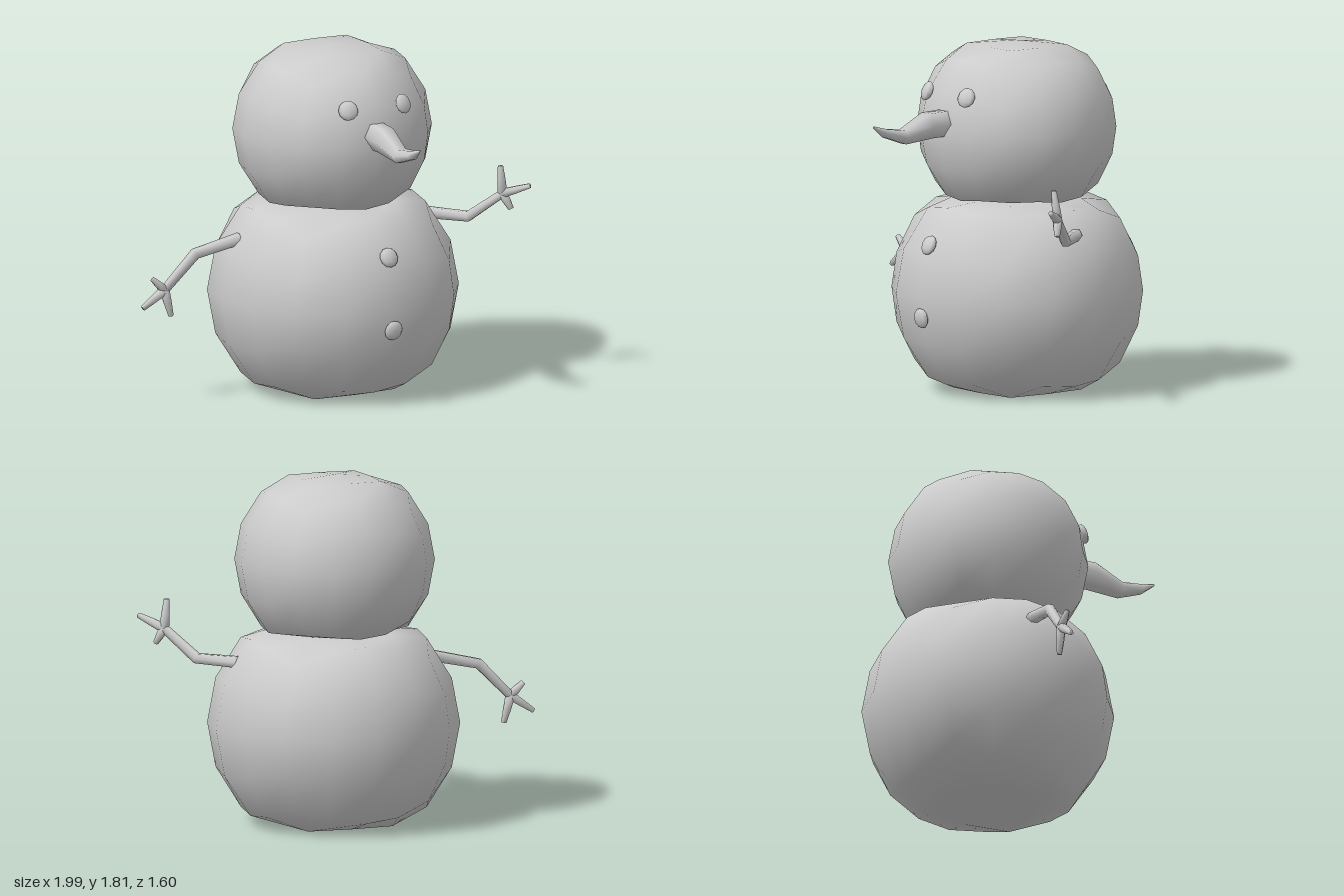
import * as THREE from 'three';
import { mergeVertices } from 'three/addons/utils/BufferGeometryUtils.js';

const material = new THREE.MeshStandardMaterial({ color: 0xcccccc });

function add(parent, name, geometry) {
  const mesh = new THREE.Mesh(geometry, material);
  mesh.name = name;
  parent.add(mesh);
  return mesh;
}

// Ball made from a subdivided cube, with its top and bottom pressed flat
function snowball(radius, below, above) {
  const geo = new THREE.BoxGeometry(2, 2, 2, 4, 4, 4);
  geo.deleteAttribute('uv');
  geo.deleteAttribute('normal');
  const pos = geo.attributes.position;
  const v = new THREE.Vector3();
  for (let i = 0; i < pos.count; i++) {
    v.fromBufferAttribute(pos, i);
    v.set(...v.toArray().map((c) => Math.tan((c * Math.PI) / 4))).setLength(radius);
    const dome = 0.02 * (1 - Math.min(1, Math.hypot(v.x, v.z) / (radius * 0.4)));
    v.y = Math.max(-below, Math.min(above + dome, v.y));
    pos.setXYZ(i, v.x, v.y, v.z);
  }
  const merged = mergeVertices(geo, 1e-4);
  merged.computeVertexNormals();
  return merged;
}

// Skin over elliptical sections [x, y, z, sideRadius, upRadius], closed at both ends
function loft(sections, side, sides = 6) {
  const centres = sections.map((s) => new THREE.Vector3(s[0], s[1], s[2]));
  const last = centres.length - 1;
  const vertices = [];
  const faces = [];
  centres.forEach((c, i) => {
    const tangent = centres[Math.min(i + 1, last)].clone().sub(centres[Math.max(i - 1, 0)]).normalize();
    const up = tangent.clone().cross(side).normalize();
    const [, , , rx, ry = rx] = sections[i];
    for (let j = 0; j < sides; j++) {
      const a = (j / sides) * Math.PI * 2;
      const p = c.clone().addScaledVector(side, Math.cos(a) * rx).addScaledVector(up, Math.sin(a) * ry);
      vertices.push(p.x, p.y, p.z);
    }
  });
  const startCap = (last + 1) * sides;
  vertices.push(...centres[0].toArray(), ...centres[last].toArray());
  for (let j = 0; j < sides; j++) {
    const k = (j + 1) % sides;
    for (let i = 0; i < last; i++) {
      const a = i * sides;
      const b = a + sides;
      faces.push(a + j, a + k, b + k, a + j, b + k, b + j);
    }
    faces.push(startCap, k, j, startCap + 1, last * sides + j, last * sides + k);
  }
  const geo = new THREE.BufferGeometry();
  geo.setAttribute('position', new THREE.Float32BufferAttribute(vertices, 3));
  geo.setIndex(faces);
  geo.computeVertexNormals();
  return geo;
}

// Flattened pebble lying on a ball, facing away from the ball's centre
function pebble(parent, name, position, centre) {
  const mesh = add(parent, name, new THREE.SphereGeometry(0.052, 8, 6));
  mesh.position.set(...position);
  mesh.scale.z = 0.45;
  mesh.lookAt(mesh.position.clone().multiplyScalar(2).sub(centre));
}

// Twig arm with three fingers spreading from the wrist
function arm(parent, name, path, fingers) {
  const group = new THREE.Group();
  group.name = name;
  const wrist = path[path.length - 1];
  const dx = wrist[0] - path[0][0];
  const dz = wrist[2] - path[0][2];
  const side = new THREE.Vector3(-dz, 0, dx).normalize();
  const radii = [0.033, 0.03, 0.024];
  add(group, 'forearm', loft(path.map((p, i) => [...p, radii[i]]), side));
  fingers.forEach((tip, i) => {
    const mid = tip.map((c, k) => (c + wrist[k]) / 2);
    add(group, 'finger' + (i + 1), loft([[...wrist, 0.026], [...mid, 0.021], [...tip, 0.014]], side));
  });
  parent.add(group);
}

export function createModel() {
  const model = new THREE.Group();
  model.name = 'snowman';

  // Body and head
  const bodyCentre = new THREE.Vector3(0.1, 0.52, -0.15);
  const headCentre = new THREE.Vector3(0.095, 1.37, -0.15);
  add(model, 'body', snowball(0.65, 0.52, 0.475)).position.copy(bodyCentre);
  add(model, 'head', snowball(0.515, 0.37, 0.42)).position.copy(headCentre);

  // Eyes and buttons
  pebble(model, 'rightEye', [-0.06, 1.57, 0.315], headCentre);
  pebble(model, 'leftEye', [0.26, 1.57, 0.315], headCentre);
  pebble(model, 'upperButton', [0.11, 0.8, 0.44], bodyCentre);
  pebble(model, 'lowerButton', [0.11, 0.425, 0.492], bodyCentre);

  // Crooked carrot nose
  add(model, 'nose', loft([
    [0.095, 1.425, 0.28, 0.075, 0.075],
    [0.095, 1.42, 0.44, 0.07, 0.075],
    [0.095, 1.375, 0.6, 0.052, 0.042],
    [0.098, 1.405, 0.72, 0.034, 0.026],
    [0.098, 1.443, 0.795, 0.006, 0.006],
  ], new THREE.Vector3(1, 0, 0)));

  // Arms
  arm(model, 'rightArm',
    [[-0.44, 0.835, -0.16], [-0.69, 0.78, -0.175], [-0.86, 0.605, -0.19]],
    [[-0.985, 0.52, -0.195], [-0.825, 0.465, -0.185], [-0.93, 0.67, -0.19]]);
  arm(model, 'leftArm',
    [[0.62, 0.86, -0.12], [0.77, 0.86, 0.07], [0.89, 1.0, 0.22]],
    [[0.985, 1.055, 0.34], [0.873, 1.15, 0.23], [0.925, 0.92, 0.25]]);

  return model;
}
